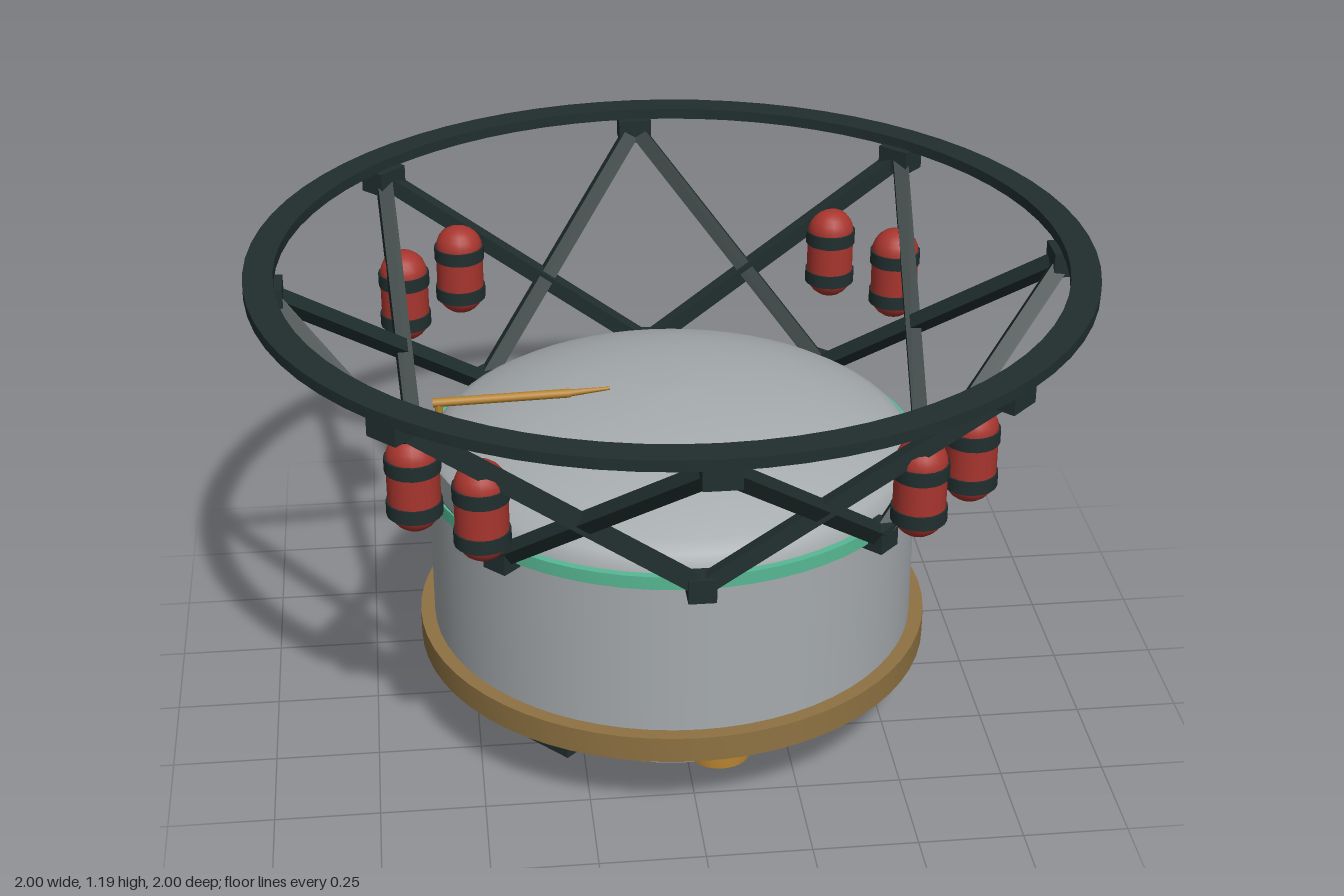
import * as THREE from 'three';
import { toCreasedNormals } from 'three/addons/utils/BufferGeometryUtils.js';

const mat = (name, color) => {
  const m = new THREE.MeshStandardMaterial({ color });
  m.name = name;
  return m;
};

export function createModel() {
  const model = new THREE.Group();
  model.name = 'propulsionStage';

  const grey = mat('tankGrey', 0xa6abae);
  const brown = mat('bronzeRing', 0x8e7242);
  const green = mat('mintBand', 0x58b894);
  const dark = mat('darkFrame', 0x212f2f);
  const red = mat('redBottle', 0xa8352e);
  const gold = mat('gold', 0xb5822f);
  const cream = mat('cream', 0xd8d0ba);
  const plate = mat('plateGrey', 0xa4a7aa);

  const add = (name, geometry, material, x = 0, y = 0, z = 0, parent = model) => {
    const mesh = new THREE.Mesh(geometry, material);
    mesh.name = name;
    mesh.position.set(x, y, z);
    parent.add(mesh);
    return mesh;
  };
  const lathe = (pts, segments = 64) =>
    new THREE.LatheGeometry(pts.map(([r, y]) => new THREE.Vector2(r, y)), segments);
  // Square-section ring with crisp edges
  const ring = (inner, outer, y0, y1, segments = 64) =>
    toCreasedNormals(lathe([[inner, y0], [outer, y0], [outer, y1], [inner, y1], [inner, y0]], segments), 0.6);
  // Bar stretched between two points
  const between = (mesh, a, b) => {
    mesh.position.copy(a).add(b).multiplyScalar(0.5);
    mesh.quaternion.setFromUnitVectors(new THREE.Vector3(0, 1, 0), b.clone().sub(a).normalize());
    return mesh;
  };
  const polar = (r, angle, y) => new THREE.Vector3(r * Math.sin(angle), y, r * Math.cos(angle));

  // Tank: shallow domes on a cylindrical wall
  add('tankWall', new THREE.CylinderGeometry(0.595, 0.595, 0.44, 64, 1, true), grey, 0, 0.44);
  const topDome = [[0.595, 0.66], [0.59, 0.69], [0.573, 0.712], [0.54, 0.733], [0.46, 0.77],
    [0.36, 0.802], [0.25, 0.824], [0.12, 0.838], [0, 0.842]];
  const bottomDome = [[0, 0.02], [0.15, 0.029], [0.3, 0.06], [0.42, 0.102], [0.5, 0.14],
    [0.55, 0.175], [0.58, 0.2], [0.595, 0.23]];
  add('topDome', lathe(topDome), grey);
  add('bottomDome', lathe(bottomDome), grey);
  add('upperBand', ring(0.59, 0.61, 0.642, 0.675), green);
  add('lowerRing', ring(0.585, 0.63, 0.185, 0.25), brown);

  // Upper adapter ring and its zigzag truss
  add('adapterRing', ring(0.93, 1, 1.163, 1.19, 72), dark);
  const truss = new THREE.Group();
  truss.name = 'truss';
  model.add(truss);
  for (let i = 0; i < 8; i++) {
    const a = (i * Math.PI) / 4;
    const top = polar(0.945, a, 1.135);
    const low = polar(0.62, a, 0.657);
    add('topBracket', new THREE.BoxGeometry(0.085, 0.06, 0.07), dark, ...top, truss).rotation.y = a;
    add('lowBracket', new THREE.BoxGeometry(0.065, 0.06, 0.055), dark, ...low, truss).rotation.y = a;
    for (const s of [-1, 1]) {
      const foot = polar(0.62, a + (s * Math.PI) / 4, 0.657);
      between(add('strut', new THREE.BoxGeometry(0.038, top.distanceTo(foot), 0.038), dark, 0, 0, 0, truss), top, foot);
    }
  }

  // Paired pressure bottles at the four corners
  for (const sx of [-1, 1]) for (const sz of [-1, 1]) for (const [x, z] of [[0.485, 0.63], [0.63, 0.485]]) {
    const bottle = new THREE.Group();
    bottle.name = 'pressureBottle';
    bottle.position.set(sx * x, 0.89, sz * z);
    model.add(bottle);
    add('bottleBody', new THREE.CapsuleGeometry(0.06, 0.122, 6, 20), red, 0, 0, 0, bottle);
    for (const y of [-0.062, 0.048])
      add('bottleStrap', new THREE.CylinderGeometry(0.064, 0.064, 0.034, 20), dark, 0, y, 0, bottle);
  }

  // Vent pipe through the tank with a tapered probe over the dome
  add('ventPipe', new THREE.CylinderGeometry(0.01, 0.01, 0.755, 10), gold, -0.562, 0.455);
  between(add('probe', new THREE.CylinderGeometry(0.011, 0.011, 0.33, 10), gold),
    new THREE.Vector3(-0.572, 0.83, 0), new THREE.Vector3(-0.25, 0.838, 0));
  between(add('probeTip', new THREE.CylinderGeometry(0.004, 0.009, 0.1, 10), gold),
    new THREE.Vector3(-0.25, 0.838, 0), new THREE.Vector3(-0.15, 0.846, 0));

  // Base plate and its mounting blocks
  add('basePlate', new THREE.CylinderGeometry(0.42, 0.42, 0.012, 64), plate, 0, 0.04);
  for (const [x, z] of [[0.32, -0.12], [-0.31, 0.29], [0.02, -0.37]])
    add('mountBlock', new THREE.BoxGeometry(0.16, 0.075, 0.11), dark, x, 0.082, z)
      .rotation.y = Math.atan2(x, z);

  // Two open sockets joined by an arm below the plate
  const socket = (name, x, z, rTop, rBottom, height, material, trim) => {
    const group = new THREE.Group();
    group.name = name;
    group.position.set(x, 0, z);
    model.add(group);
    add('socketBody', new THREE.CylinderGeometry(rTop, rBottom, height, 32), material, 0, 0.012 + height / 2, 0, group);
    add('socketRim', ring(rBottom * 0.68, rBottom * 0.97, 0, 0.014, 32), trim, 0, 0, 0, group);
    add('socketCore', new THREE.CylinderGeometry(rBottom * 0.5, rBottom * 0.5, 0.008, 24), trim, 0, 0.008, 0, group);
  };
  socket('goldSocket', 0.08, 0.33, 0.078, 0.08, 0.115, gold, gold);
  socket('creamSocket', -0.085, -0.33, 0.085, 0.1, 0.1, cream, brown);
  const at = (t) => new THREE.Vector3(0.08 - 0.165 * t, 0.034, 0.33 - 0.66 * t);
  const armPart = (name, t0, t1, r0, r1, material) =>
    between(add(name, new THREE.CylinderGeometry(r1, r0, at(t0).distanceTo(at(t1)), 24), material), at(t0), at(t1));
  armPart('armTube', 0.08, 0.42, 0.026, 0.026, plate);
  armPart('armCone', 0.4, 0.58, 0.032, 0.026, cream);
  armPart('armSleeve', 0.55, 0.95, 0.031, 0.031, plate);
  add('socketElbow', new THREE.SphereGeometry(0.05, 24, 16), plate, -0.19, 0.08, -0.34);

  return model;
}
